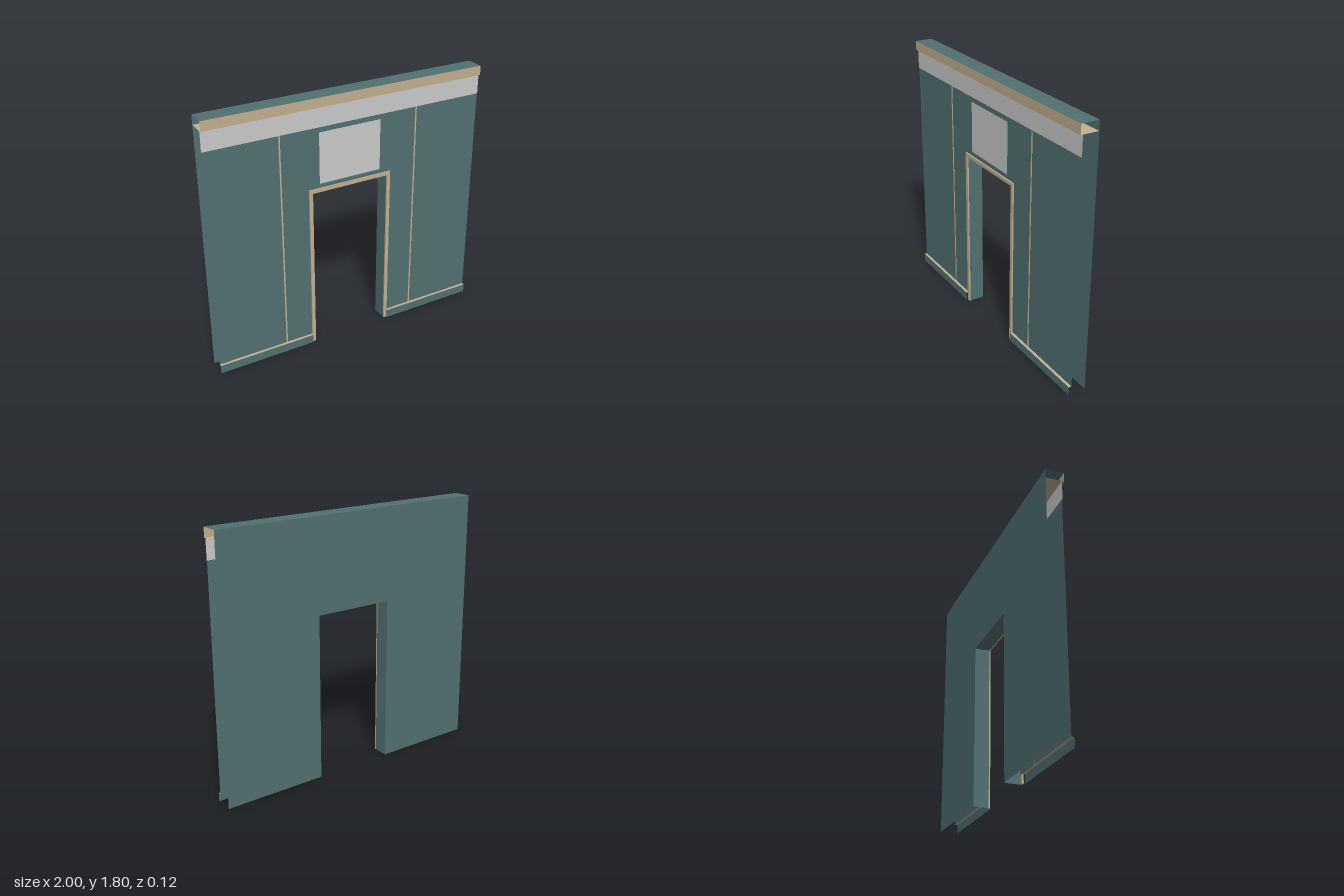
import * as THREE from 'three';

const material = (name, color) => {
  const m = new THREE.MeshStandardMaterial({ color, side: THREE.DoubleSide });
  m.name = name;
  return m;
};

// Main planes and door opening
const HALF = 1, TOP = 1.8, BACK = -0.0625, WALL = 0.043, LIP = 0.0625;
const DOOR = 0.28, DOOR_TOP = 1.155, TRIM = 0.025;
const BASE_TOP = 0.06, PANEL_TOP = 1.6, CROWN = 1.735;

// Upright sheet with a doorway notch in its lower edge
function notched(bottom, top, halfOpening, openingTop) {
  return new THREE.Shape([
    [-HALF, bottom], [-halfOpening, bottom], [-halfOpening, openingTop], [halfOpening, openingTop],
    [halfOpening, bottom], [HALF, bottom], [HALF, top], [-HALF, top],
  ].map(([x, y]) => new THREE.Vector2(x, y)));
}

export function createModel() {
  const teal = material('teal wall', 0x527172);
  const tan = material('tan trim', 0xc2b08f);
  const grey = material('light grey', 0xcbcbcb);
  const group = new THREE.Group();
  group.name = 'doorwayWall';

  const add = (name, geometry, mat) => {
    const mesh = new THREE.Mesh(geometry, mat);
    mesh.name = name;
    group.add(mesh);
    return mesh;
  };
  // Sheets facing front, up/down and sideways
  const front = (name, mat, x0, x1, y0, y1, z) =>
    add(name, new THREE.PlaneGeometry(x1 - x0, y1 - y0).translate((x0 + x1) / 2, (y0 + y1) / 2, z), mat);
  const level = (name, mat, x0, x1, z0, z1, y, up = true) =>
    add(name, new THREE.PlaneGeometry(x1 - x0, z1 - z0).rotateX(up ? -Math.PI / 2 : Math.PI / 2)
      .translate((x0 + x1) / 2, y, (z0 + z1) / 2), mat);

  // Open-ended wall shell
  add('backWall', new THREE.ShapeGeometry(notched(0, TOP, DOOR, DOOR_TOP)).rotateY(Math.PI).translate(0, 0, BACK), teal);
  add('frontWall', new THREE.ShapeGeometry(notched(BASE_TOP, PANEL_TOP, DOOR, DOOR_TOP)).translate(0, 0, WALL), teal);
  level('wallTop', teal, -HALF, HALF, BACK, LIP, TOP);

  // Doorway reveal
  level('doorHeadReveal', teal, -DOOR, DOOR, BACK, WALL, DOOR_TOP, false);
  for (const s of [-1, 1]) {
    add('doorSideReveal', new THREE.PlaneGeometry(WALL - BACK, DOOR_TOP).rotateY(-s * Math.PI / 2)
      .translate(s * DOOR, DOOR_TOP / 2, (WALL + BACK) / 2), teal);
  }

  // Door trim
  const o = DOOR + TRIM, t = DOOR_TOP + TRIM;
  const trim = new THREE.Shape([
    [-o, 0], [-DOOR, 0], [-DOOR, DOOR_TOP], [DOOR, DOOR_TOP], [DOOR, 0], [o, 0], [o, t], [-o, t],
  ].map(([x, y]) => new THREE.Vector2(x, y)));
  add('doorTrim', new THREE.ExtrudeGeometry(trim, { depth: 0.01, bevelEnabled: false })
    .translate(0, 0, WALL + 0.0005), tan);

  // Baseboards with a tan ledge, and slim upright battens
  for (const s of [-1, 1]) {
    const x0 = s < 0 ? -HALF : o, x1 = s < 0 ? -o : HALF;
    front('baseboard', teal, x0, x1, 0, BASE_TOP, LIP);
    level('baseboardLedge', tan, x0, x1, WALL, LIP, BASE_TOP);
    add('batten', new THREE.BoxGeometry(0.01, PANEL_TOP - BASE_TOP, 0.003)
      .translate(s * 0.5, (PANEL_TOP + BASE_TOP) / 2, WALL + 0.0015), tan);
  }

  // Upper light band, crown moulding and sign panel
  front('upperBand', grey, -HALF, HALF, PANEL_TOP, CROWN, WALL + 0.004);
  front('crownFace', tan, -HALF, HALF, CROWN, TOP, LIP);
  level('crownLedge', tan, -HALF, HALF, BACK, LIP, CROWN, false);
  front('panelOverDoor', grey, -0.225, 0.225, 1.21, 1.565, WALL + 0.002);

  return group;
}
